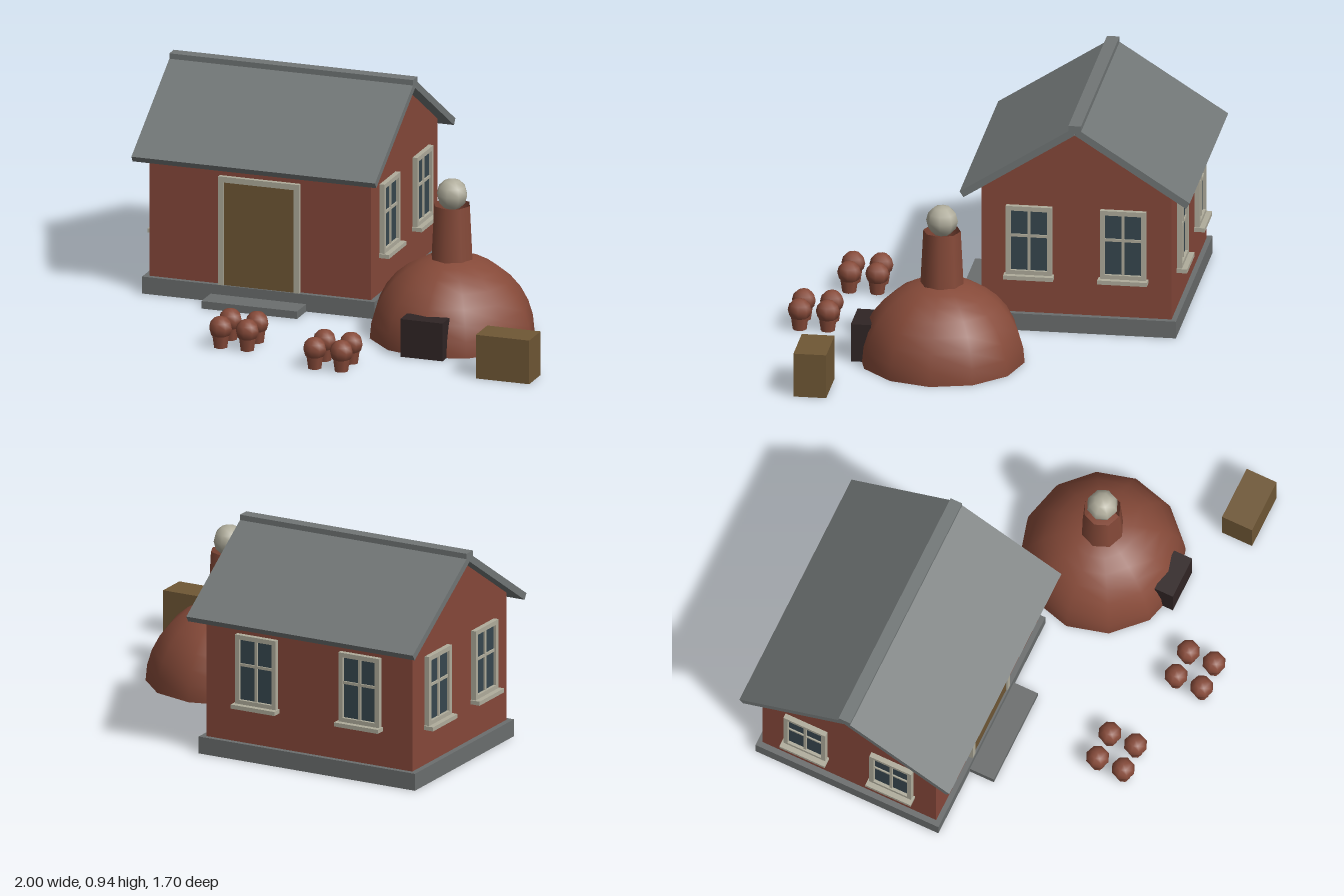
import * as THREE from 'three';

const mat = (name, color, side = THREE.FrontSide) => {
  const m = new THREE.MeshStandardMaterial({ color, side });
  m.name = name;
  return m;
};

export function createModel() {
  const brick = mat('brick', 0x86483a);
  const clay = mat('clay', 0x864a39, THREE.DoubleSide);
  const slate = mat('slate', 0x717676);
  const stone = mat('stone', 0x6b6e6e);
  const wood = mat('wood', 0x6f5735);
  const cream = mat('cream', 0xb0ad9c);
  const glass = mat('glass', 0x37474f);
  const iron = mat('iron', 0x302525);

  const model = new THREE.Group();
  model.name = 'potteryYard';

  const add = (parent, name, geometry, material, x = 0, y = 0, z = 0) => {
    const mesh = new THREE.Mesh(geometry, material);
    mesh.name = name;
    mesh.position.set(x, y, z);
    parent.add(mesh);
    return mesh;
  };
  // Box given by its limits on each axis
  const box = (parent, name, material, x0, x1, y0, y1, z0, z1) =>
    add(parent, name, new THREE.BoxGeometry(x1 - x0, y1 - y0, z1 - z0), material,
      (x0 + x1) / 2, (y0 + y1) / 2, (z0 + z1) / 2);
  const group = (parent, name, x, y, z) => {
    const g = new THREE.Group();
    g.name = name;
    g.position.set(x, y, z);
    parent.add(g);
    return g;
  };

  // House, centred on its own footprint
  const house = group(model, 'house', -0.453, 0, -0.36);
  const halfW = 0.498, halfD = 0.406, eave = 0.64, apex = 0.9;
  box(house, 'foundation', stone, -0.523, 0.523, 0, 0.075, -0.428, 0.428);

  // Walls with both gables in one extrusion
  const gable = new THREE.Shape();
  gable.moveTo(-halfD, 0.07);
  gable.lineTo(halfD, 0.07);
  gable.lineTo(halfD, eave);
  gable.lineTo(0, apex);
  gable.lineTo(-halfD, eave);
  gable.closePath();
  const wallGeo = new THREE.ExtrudeGeometry(gable, { depth: halfW * 2, bevelEnabled: false });
  wallGeo.translate(0, 0, -halfW);
  wallGeo.rotateY(Math.PI / 2);
  add(house, 'walls', wallGeo, brick);

  // Two sloping roof slabs and the ridge cap
  const slope = Math.atan2(apex - eave, halfD);
  const slabLength = 0.475 / Math.cos(slope);
  for (const side of [1, -1]) {
    const geo = new THREE.BoxGeometry(1.096, 0.03, slabLength);
    geo.translate(0, 0.015, slabLength / 2);
    const slab = add(house, side > 0 ? 'frontRoof' : 'backRoof', geo, slate, 0, apex, 0);
    slab.rotation.order = 'YXZ';
    slab.rotation.set(slope, side > 0 ? 0 : Math.PI, 0);
  }
  box(house, 'ridgeCap', slate, -0.548, 0.548, 0.905, 0.942, -0.027, 0.027);

  // Door with its surround and step
  const door = group(house, 'door', 0, 0, halfD);
  box(door, 'doorPanel', wood, -0.16, 0.16, 0.075, 0.533, -0.01, 0.014);
  for (const s of [-1, 1]) {
    const x = s * 0.169;
    box(door, 'doorJamb', cream, x - 0.0125, x + 0.0125, 0.075, 0.555, -0.01, 0.02);
  }
  box(door, 'doorLintel', cream, -0.157, 0.157, 0.53, 0.555, -0.01, 0.02);
  box(house, 'doorStep', stone, -0.215, 0.215, 0, 0.033, 0.425, 0.54);

  // Window facing +z, turned to the wall it belongs to
  const addWindow = (x, z, turn) => {
    const w = group(house, 'window', x, 0.402, z);
    w.rotation.y = turn;
    box(w, 'pane', glass, -0.09, 0.09, -0.14, 0.145, -0.01, 0.009);
    for (const s of [-1, 1]) {
      box(w, 'sideFrame', cream, s * 0.088 - 0.01, s * 0.088 + 0.01, -0.154, 0.154, -0.01, 0.022);
      box(w, 'crossFrame', cream, -0.078, 0.078, s * 0.144 - 0.01, s * 0.144 + 0.01, -0.01, 0.022);
    }
    box(w, 'uprightBar', cream, -0.006, 0.006, -0.134, 0.134, 0, 0.016);
    box(w, 'crossBar', cream, -0.078, 0.078, 0.015, 0.027, 0, 0.015);
    box(w, 'sill', cream, -0.106, 0.106, -0.17, -0.152, -0.01, 0.045);
  };
  for (const s of [-1, 1]) {
    addWindow(halfW, s * 0.201, Math.PI / 2);
    addWindow(-halfW, s * 0.201, -Math.PI / 2);
    addWindow(s * 0.25, -halfD, Math.PI);
  }

  // Domed kiln, open underneath, with an open chimney
  const kiln = group(model, 'kiln', 0.45, 0, 0.153);
  add(kiln, 'dome', new THREE.SphereGeometry(0.353, 12, 8, 0, Math.PI * 2, 0, Math.PI / 2), clay);
  add(kiln, 'chimney', new THREE.CylinderGeometry(0.08, 0.092, 0.235, 8, 1, true), clay, 0, 0.4575, 0);
  add(kiln, 'smokePuff', new THREE.SphereGeometry(0.068, 8, 6), cream, 0, 0.62, 0);
  box(kiln, 'kilnDoor', iron, -0.095, 0.095, 0, 0.167, 0.29, 0.375);

  // Crate beside the kiln
  box(model, 'crate', wood, 0.76, 1, 0, 0.193, 0.565, 0.705);

  // Two clusters of four pots, each with a rounded top
  const potGeo = new THREE.CylinderGeometry(0.042, 0.03, 0.085, 8);
  const topGeo = new THREE.SphereGeometry(0.051, 8, 6);
  for (const [cx, cz] of [[-0.345, 0.6], [0.13, 0.74]]) {
    const cluster = group(model, 'potCluster', cx, 0, cz);
    for (const sx of [-1, 1]) for (const sz of [-1, 1]) {
      add(cluster, 'pot', potGeo, clay, sx * 0.06, 0.0425, sz * 0.06);
      add(cluster, 'potTop', topGeo, clay, sx * 0.06, 0.085, sz * 0.06);
    }
  }
  return model;
}
